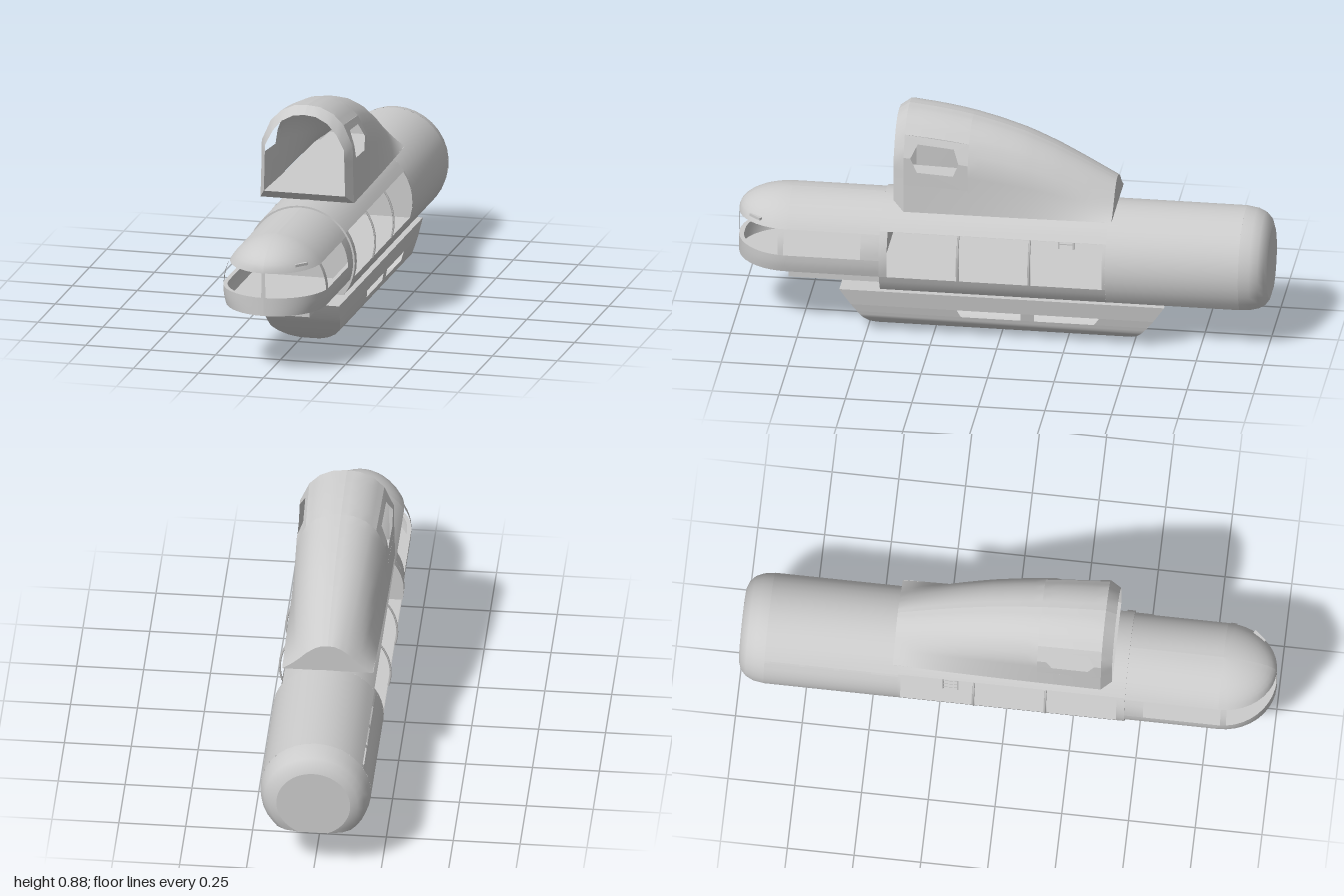
import * as THREE from 'three';
import { ParametricGeometry } from 'three/addons/geometries/ParametricGeometry.js';

const mat = new THREE.MeshStandardMaterial({ color: 0xcccccc, side: THREE.DoubleSide });
const lerp = THREE.MathUtils.lerp;
const DEG = Math.PI / 180;
const CY = 0.305, R = 0.207, KEEL = 0.178;

function add(parent, name, geo, x = 0, y = 0, z = 0) {
  const m = new THREE.Mesh(geo, mat);
  m.name = name;
  m.position.set(x, y, z);
  parent.add(m);
  return m;
}
const box = (parent, name, w, h, d, x, y, z) => add(parent, name, new THREE.BoxGeometry(w, h, d), x, y, z);

// Surface patch over a rectangle of two parameters; fn returns [x, y, z]
function patch(parent, name, fn, a0, a1, b0, b1, na, nb) {
  const geo = new ParametricGeometry((u, v, t) => t.set(...fn(lerp(a0, a1, u), lerp(b0, b1, v))), na, nb);
  geo.computeVertexNormals();
  return add(parent, name, geo);
}

// Value of a polyline of equally spaced points at t
function along(points, t) {
  const i = Math.min(Math.floor(t), points.length - 2);
  return points[i].map((p, k) => lerp(p, points[i + 1][k], t - i));
}
const group = (parent, name) => {
  const g = new THREE.Group();
  g.name = name;
  parent.add(g);
  return g;
};

// Half of the hull's flat-bottomed round section, from keel edge (radians)
const keelAngle = r => Math.asin((KEEL - CY) / r);
const hullPoint = (deg, z) => [R * Math.cos(deg * DEG), CY + R * Math.sin(deg * DEG), z];

function bulkhead(parent, name, r, z) {
  const shape = new THREE.Shape();
  const a = keelAngle(r);
  shape.absarc(0, CY, r, a, Math.PI - a, false);
  add(parent, name, new THREE.ShapeGeometry(shape, 24), 0, 0, z);
}

function buildHull(root) {
  const g = group(root, 'hull');
  const a = keelAngle(R) / DEG, lo = -17, hi = 33.7;

  // Middle section with tall side windows
  patch(g, 'roof', hullPoint, hi, 180 - hi, -0.4, 0.45, 12, 1);
  for (const side of [1, -1]) {
    const point = (deg, z) => { const p = hullPoint(deg, z); return [side * p[0], p[1], p[2]]; };
    patch(g, 'lowerSide', point, a, lo, -0.4, 0.45, 3, 1);
    for (const [z0, z1] of [[0.42, 0.45], [0.148, 0.16], [-0.121, -0.109], [-0.4, -0.388]])
      patch(g, 'windowPost', point, lo, hi, z0, z1, 6, 1);
    for (const z of [0.154, -0.115]) {
      const rib = add(g, 'rib', new THREE.TorusGeometry(R, 0.004, 4, 10, (hi - lo) * DEG), 0, CY, z);
      rib.rotation.z = side > 0 ? lo * DEG : (180 - hi) * DEG;
    }
  }

  // Rear section with a row of slits on one side
  const s0 = 147, s1 = 149.5;
  patch(g, 'rearShell', hullPoint, a, s0, -0.9, -0.4, 18, 1);
  patch(g, 'rearShell', hullPoint, s1, 180 - a, -0.9, -0.4, 8, 1);
  for (const [z0, z1] of [[-0.9, -0.88], [-0.77, -0.75], [-0.64, -0.62], [-0.5, -0.4]])
    patch(g, 'slitBridge', hullPoint, s0, s1, z0, z1, 1, 1);

  // Rounded tail, cut flat by the keel
  const tail = [[0.207, -0.9], [0.201, -0.94], [0.187, -0.97], [0.166, -0.99], [0.138, -1]];
  patch(g, 'tail', (t, k) => {
    const [r, z] = along(tail, k), s = keelAngle(r);
    const ang = lerp(s, Math.PI - s, t);
    return [r * Math.cos(ang), CY + r * Math.sin(ang), z];
  }, 0, 1, 0, 4, 24, 4);
  patch(g, 'tailKeel', (s, k) => {
    const [r, z] = along(tail, k);
    return [s * r * Math.cos(keelAngle(r)), KEEL, z];
  }, -1, 1, 0, 4, 1, 4);
  bulkhead(g, 'tailCap', 0.138, -1);
  bulkhead(g, 'rearBulkhead', R - 0.002, -0.4);
  bulkhead(g, 'frontBulkhead', R, 0.45);
  const kx = R * Math.cos(a * DEG);
  patch(g, 'keelPlate', (x, z) => [x, KEEL, z], -kx, kx, -0.9, 0.45, 1, 1);
  patch(g, 'deck', (x, z) => [x, 0.24, z], -0.195, 0.195, -0.4, 0.45, 1, 1);

  // Ladder up to the hatch below the canopy
  const ladder = group(g, 'ladder');
  for (const z of [-0.18, -0.235]) box(ladder, 'ladderRail', 0.006, 0.26, 0.006, -0.14, 0.37, z);
  for (let i = 0; i < 7; i++) box(ladder, 'ladderRung', 0.005, 0.004, 0.055, -0.14, 0.26 + i * 0.033, -0.2075);
  box(g, 'hatch', 0.08, 0.06, 0.08, -0.1, 0.482, -0.21);
}

function buildCab(root) {
  const g = group(root, 'cab');
  // u 0..1 runs along the side, 1..2 round the nose to the centre line
  const cab = (side, u, y) => {
    const w = Math.sqrt(Math.max(0, 0.04 - (y - CY) ** 2));
    const k = Math.max(0, (y - 0.41) / 0.095);
    const reach = 0.2 * Math.sqrt(Math.max(0, 1 - k * k));
    if (u <= 1) return [side * w, y, lerp(0.45, 0.8, u)];
    const t = (u - 1) * Math.PI / 2;
    return [side * w * Math.cos(t), y, 0.8 + reach * Math.sin(t)];
  };
  for (const side of [1, -1]) {
    const wall = (u, y) => cab(side, u, y);
    const domed = (u, k) => cab(side, u, 0.405 + 0.1 * Math.sin(k * Math.PI / 2));
    for (const [u0, u1, n] of [[0, 1, 1], [1, 2, 10]]) {
      patch(g, 'lowerBand', wall, u0, u1, 0.24, 0.31, n, 3);
      patch(g, 'dome', domed, u0, u1, 0, 1, n, 10);
    }
    for (const [u0, u1] of [[0, 0.2], [1.03, 1.1], [1.975, 2]])
      patch(g, 'windowPost', wall, u0, u1, 0.31, 0.405, 1, 4);
    // Inner sill along the windows
    patch(g, 'sill', (u, k) => {
      const p = cab(side, u, 0.31);
      return [p[0] * (1 - 0.08 * k), 0.31, p[2] - (u > 1 ? 0.02 * k * (u - 1) : 0)];
    }, 0, 2, 0, 1, 20, 1);
  }
  for (const [u0, u1, n] of [[0, 1, 1], [1, 2, 10]])
    patch(g, 'cabFloor', (u, s) => cab(s, u, 0.24), u0, u1, -1, 1, n, 1);
  box(g, 'underBox', 0.25, 0.052, 0.35, 0, 0.214, 0.625);
  const vent = box(g, 'noseVent', 0.055, 0.01, 0.012, 0.124, 0.427, 0.922);
  vent.rotation.y = 50 * DEG;
}

function buildCanopy(root) {
  const g = group(root, 'canopy');
  const front = [[0.18, 0.51], [0.177, 0.62], [0.175, 0.73], [0.14, 0.81], [0.1, 0.85], [0.05, 0.873], [0, 0.878]];
  const rear = [[0.17, 0.51], [0.14, 0.53], [0.11, 0.555], [0.08, 0.585], [0.05, 0.607], [0.025, 0.618], [0, 0.62]];
  const crest = [[0.62], [0.68], [0.737], [0.785], [0.82], [0.848], [0.866], [0.878]];
  const Z0 = -0.42, Z1 = 0.36, ZW = 0.12;
  const point = (side, t, z) => {
    const w = (along(crest, 7 * (z - Z0) / (Z1 - Z0))[0] - 0.62) / 0.258;
    const f = along(front, t), r = along(rear, t);
    return [side * lerp(r[0], f[0], w), lerp(r[1], f[1], w), z];
  };
  for (const side of [1, -1]) {
    const skin = (t, z) => point(side, t, z);
    patch(g, 'shell', skin, 0, 6, Z0, ZW, 12, 14);
    patch(g, 'shell', skin, 0, 1, ZW, Z1, 2, 5);
    patch(g, 'shell', skin, 3, 6, ZW, Z1, 6, 5);
    // Panels above and below the middle of the six-sided window
    for (const [edge, notch] of [[1, 1.5], [3, 2.65]]) {
      const shape = new THREE.Shape([
        [ZW, 2], [0.155, 2], [0.175, notch], [0.31, notch], [0.335, 2], [Z1, 2], [Z1, edge], [ZW, edge],
      ].map(p => new THREE.Vector2(...p)));
      const geo = new THREE.ShapeGeometry(shape);
      const pos = geo.attributes.position;
      for (let i = 0; i < pos.count; i++) pos.setXYZ(i, ...skin(pos.getY(i), pos.getX(i)));
      geo.computeVertexNormals();
      add(g, 'windowPanel', geo);
    }
    // Bevelled rim of the open front
    patch(g, 'rim', (t, k) => {
      const [x, y] = along(front, t);
      return [side * x * (1 - 0.13 * k), y + k * lerp(0.035, -0.028, Math.min(1, t / 3)), Z1 + 0.04 * k];
    }, 0, 6, 0, 1, 12, 1);
  }
  patch(g, 'rimSill', (s, k) => [s * lerp(0.18, 0.157, k), 0.51 + 0.035 * k, Z1 + 0.04 * k], -1, 1, 0, 1, 1, 1);
  patch(g, 'canopyFloor', (s, k) => [s * lerp(0.12, 0.157, k), 0.545, lerp(Z0, 0.4, k)], -1, 1, 0, 1, 1, 1);
  patch(g, 'canopyBase', (s, k) => [s * lerp(0.17, 0.18, k), 0.511, lerp(Z0, Z1, k)], -1, 1, 0, 1, 1, 1);
  patch(g, 'rearWall', (s, t) => { const [x, y] = along(rear, t); return [s * x, y, Z0]; }, -1, 1, 0, 6, 1, 6);
}

function buildGondola(root) {
  const g = group(root, 'gondola');
  g.position.x = 0.033;
  const half = [[0.153, 0.178], [0.145, 0.115], [0.139, 0.085], [0.133, 0.06], [0.11, 0.036], [0.075, 0.015], [0.038, 0.003], [0, 0]];
  const ends = y => 0.16 * Math.pow(y / 0.178, 0.7);
  // k 0..1 runs from the rear end to the front end
  const skin = (side, t, k) => {
    const [x, y] = along(half, t);
    return [side * x, y, lerp(-0.46 - ends(y), 0.44 + ends(y), k)];
  };
  for (const side of [1, -1]) {
    const wall = (t, k) => skin(side, t, k);
    patch(g, 'upperWall', wall, 0, 1, 0, 1, 4, 1);
    patch(g, 'belly', wall, 2, 7, 0, 1, 10, 1);
    // Window strip: solid pieces between slanted openings, as [z at top, z at bottom]
    const e = t => skin(side, t, 0)[2], f = t => skin(side, t, 1)[2];
    const strip = [
      [[e(1), e(2)], [-0.375, -0.355]],
      [[-0.13, -0.13], [-0.08, -0.08]],
      [[0.16, 0.145], [f(1), f(2)]],
    ];
    for (const [a, b] of strip)
      patch(g, 'windowStrip', (t, k) => {
        const [x, y] = along(half, t);
        return [side * x, y, lerp(lerp(a[0], a[1], t - 1), lerp(b[0], b[1], t - 1), k)];
      }, 1, 2, 0, 1, 1, 1);
  }
  for (const k of [0, 1])
    patch(g, 'endPlate', (t, s) => { const p = skin(1, t, k); return [s * p[0], p[1], p[2]]; }, 0, 7, -1, 1, 14, 1);
  patch(g, 'topPlate', (s, k) => skin(s, 0, k), -1, 1, 0, 1, 1, 1);
}

export function createModel() {
  const root = new THREE.Group();
  root.name = 'vehicle';
  buildHull(root);
  buildCab(root);
  buildCanopy(root);
  buildGondola(root);
  return root;
}
